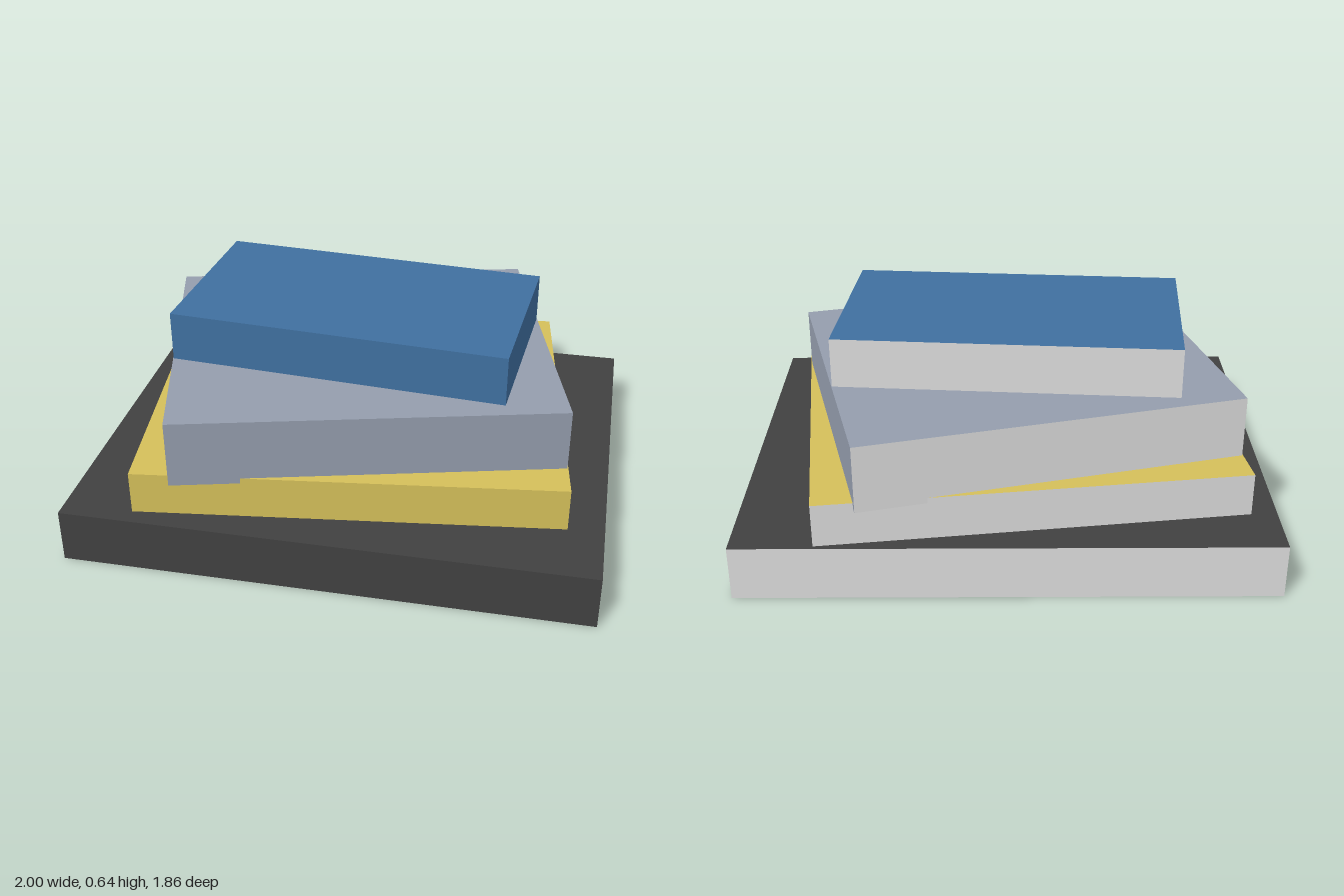
import * as THREE from 'three';

const mat = (name, color) => {
  const m = new THREE.MeshStandardMaterial({ color });
  m.name = name;
  return m;
};

export function createModel() {
  const group = new THREE.Group();
  group.name = 'bookStack';
  const pages = mat('paleGreyPages', 0xdcdcdc);

  // Books from bottom to top: cover colour, length, depth, bottom, top, turn in degrees, centre
  const books = [
    { name: 'charcoalBook', color: 0x404040, w: 1.588, d: 1.275, y0: 0, y1: 0.167, turn: 27.4, x: 0, z: 0 },
    { name: 'yellowBook', color: 0xd4bf5a, w: 1.279, d: 1.057, y0: 0.167, y1: 0.3, turn: 34.7, x: -0.022, z: -0.01 },
    { name: 'greyBook', color: 0x949dad, w: 1.162, d: 0.972, y0: 0.283, y1: 0.49, turn: 41.8, x: -0.022, z: -0.01 },
    { name: 'blueBook', color: 0x3f6f9f, w: 1.031, d: 0.565, y0: 0.49, y1: 0.643, turn: 22.9, x: -0.022, z: -0.01 },
  ];

  for (const b of books) {
    const cover = mat(b.name + 'Cover', b.color);
    const h = b.y1 - b.y0;
    // The long back side shows the pages, every other side is cover
    const mesh = new THREE.Mesh(
      new THREE.BoxGeometry(b.w, h, b.d),
      [cover, cover, cover, cover, cover, pages],
    );
    mesh.name = b.name;
    mesh.position.set(b.x, b.y0 + h / 2, b.z);
    mesh.rotation.y = THREE.MathUtils.degToRad(b.turn);
    group.add(mesh);
  }
  return group;
}
